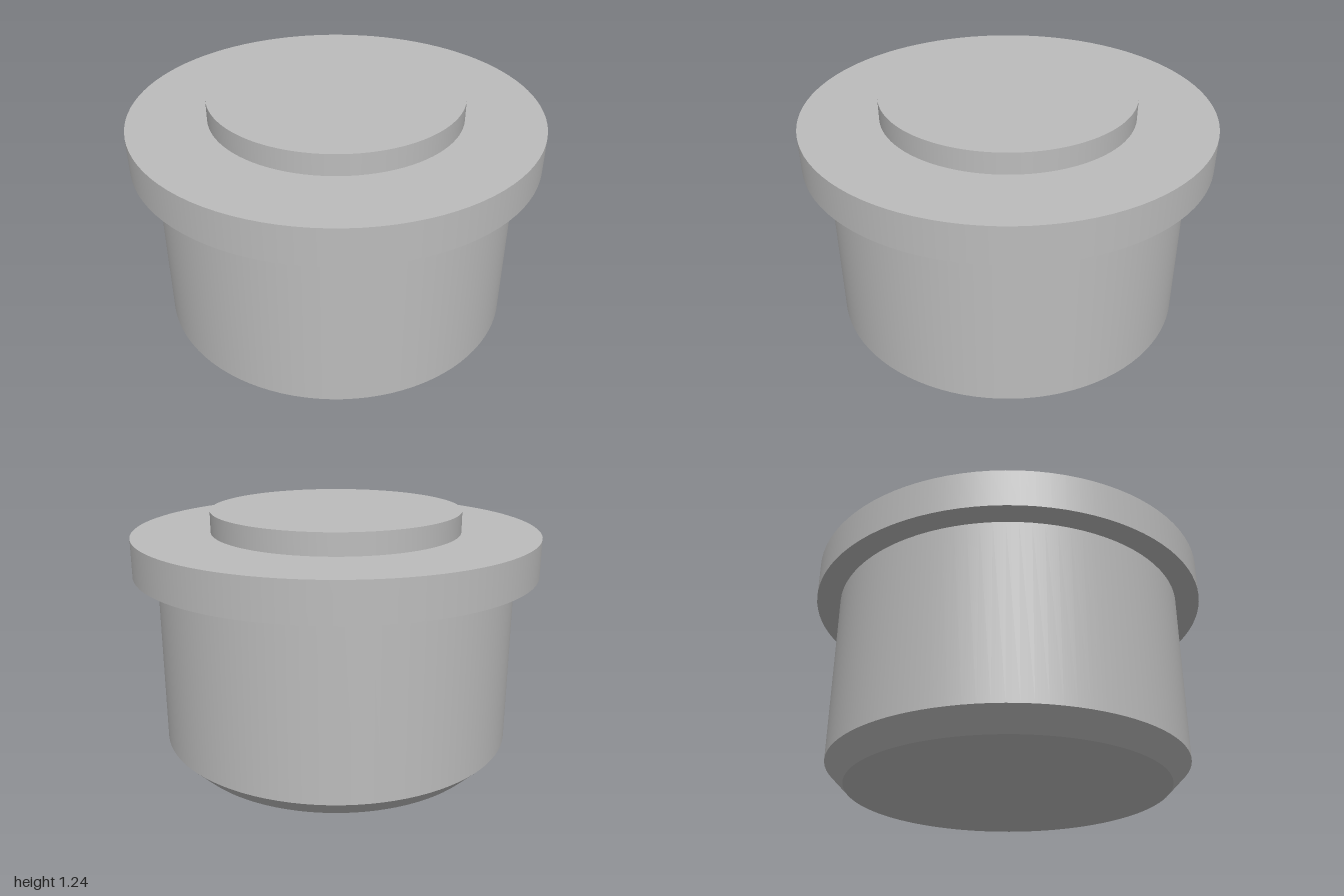
import * as THREE from 'three';

const SEGMENTS = 96;

export function createModel() {
  const model = new THREE.Group();
  model.name = 'flangedPlug';
  const grey = new THREE.MeshStandardMaterial({ color: 0xbcbcbc });
  grey.name = 'plain grey';

  // Turned outline from bottom centre to top centre: [part, radius, height] at the end of each face
  const outline = [
    ['bottomFace', 0.79, 0],
    ['bottomChamfer', 0.883, 0.095],
    ['bodyWall', 0.883, 0.95],
    ['flangeUnderside', 1, 0.95],
    ['flangeRim', 1, 1.135],
    ['flangeTop', 0.618, 1.135],
    ['bossWall', 0.618, 1.24],
    ['bossTop', 0, 1.24],
  ];

  // One smooth surface per face keeps the edges between them sharp
  let start = new THREE.Vector2(0, 0);
  for (const [name, radius, height] of outline) {
    const end = new THREE.Vector2(radius, height);
    const face = new THREE.Mesh(new THREE.LatheGeometry([start, end], SEGMENTS), grey);
    face.name = name;
    model.add(face);
    start = end;
  }
  return model;
}
